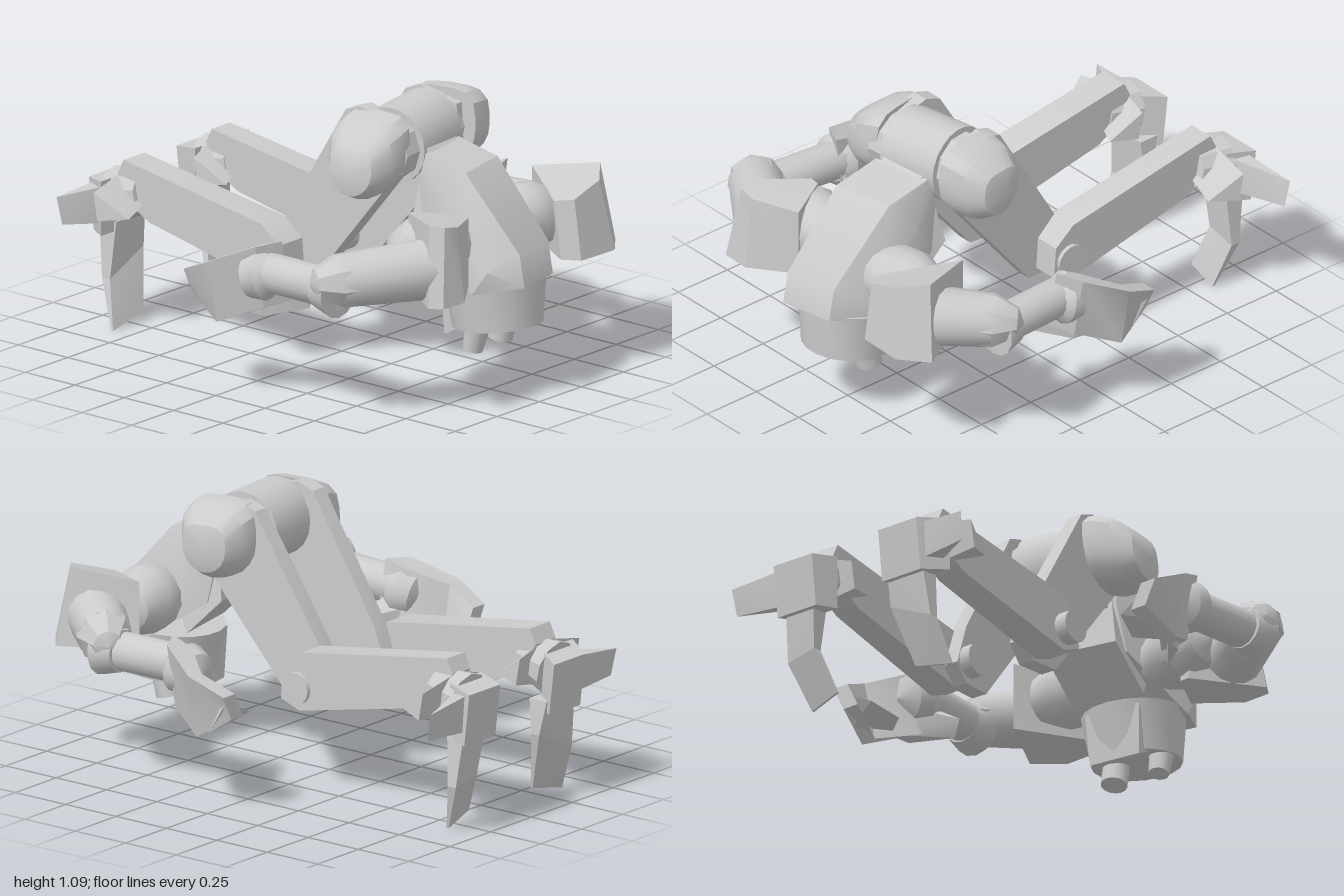
import * as THREE from 'three';
import { toCreasedNormals } from 'three/addons/utils/BufferGeometryUtils.js';
import { ConvexGeometry } from 'three/addons/geometries/ConvexGeometry.js';

const grey = new THREE.MeshStandardMaterial({ color: 0xcccccc });
const V = (p) => new THREE.Vector3(...p);

function add(parent, name, geo) {
  const mesh = new THREE.Mesh(toCreasedNormals(geo, 0.6), grey);
  mesh.name = name;
  parent.add(mesh);
  return mesh;
}

// Faceted solid wrapped around a few corners
const hull = (pts) => new ConvexGeometry(pts.map(V));

// Side profile of [z, y] points, extruded from x0 to x1
function sideProfile(pts, x0, x1) {
  const shape = new THREE.Shape(pts.map(([z, y]) => new THREE.Vector2(z, y)));
  const geo = new THREE.ExtrudeGeometry(shape, { depth: Math.abs(x1 - x0), bevelEnabled: false });
  return geo.rotateY(-Math.PI / 2).translate(Math.max(x0, x1), 0, 0);
}

// Plan of [x, z] points, extruded from y0 to y1
function plan(pts, y0, y1) {
  const shape = new THREE.Shape(pts.map(([x, z]) => new THREE.Vector2(x, z)));
  const geo = new THREE.ExtrudeGeometry(shape, { depth: y1 - y0, bevelEnabled: false });
  return geo.rotateX(Math.PI / 2).translate(0, y1, 0);
}

// Move every vertex by a rule
function reshape(geo, rule) {
  const p = geo.attributes.position;
  const v = new THREE.Vector3();
  for (let i = 0; i < p.count; i++) {
    rule(v.fromBufferAttribute(p, i));
    p.setXYZ(i, v.x, v.y, v.z);
  }
  return geo;
}

// Turned part running from a to b; profile is [radius, fraction along]
function turned(a, b, profile, sides = 16) {
  const from = V(a), dir = V(b).sub(from), len = dir.length();
  const geo = new THREE.LatheGeometry(profile.map(([r, t]) => new THREE.Vector2(r, t * len)), sides);
  geo.applyQuaternion(new THREE.Quaternion().setFromUnitVectors(new THREE.Vector3(0, 1, 0), dir.normalize()));
  return geo.translate(from.x, from.y, from.z);
}
const rod = (a, b, r0, r1 = r0, sides = 14) => turned(a, b, [[0, 0], [r0, 0], [r1, 1], [0, 1]], sides);

function buildHips(root) {
  const hips = new THREE.Group();
  hips.name = 'hips';
  hips.position.set(0.015, 0.935, 0.33);
  hips.rotation.set(0, 0.14, 0.03);
  root.add(hips);
  add(hips, 'pelvisDrum', rod([-0.135, 0, 0], [0.135, 0, 0], 0.155, 0.155, 20));
  for (const s of [-1, 1]) {
    // Dome with a squared-off upper half, sagging outward
    const dome = turned([s * 0.19, 0, 0], [s * 0.405, 0, 0],
      [[0, 0], [0.15, 0], [0.154, 0.25], [0.14, 0.55], [0.095, 0.87], [0, 1]], 20);
    add(hips, 'hipDome', reshape(dome, (v) => {
      const r = Math.hypot(v.y, v.z) || 1;
      const k = v.y > 0 ? ((v.y / r) ** 4 + (v.z / r) ** 4) ** -0.25 || 1 : 1;
      v.y *= k;
      v.z = v.z * k + s * 0.03;
      v.y -= (Math.abs(v.x) - 0.18) * (s < 0 ? 0.2 : 0.12);
      v.x += v.y * (s < 0 ? 0.14 : 0.03);
    }));
    add(hips, 'hipRing', rod([s * 0.13, 0, 0], [s * 0.22, 0, 0], 0.135, 0.13, 10));
  }
}

function buildTorso(root) {
  const torso = new THREE.Group();
  torso.name = 'torso';
  torso.position.set(0.02, 0, 0);
  root.add(torso);
  // Mirrored corners, with the left side set slightly further back
  const both = (pts) => [-1, 1].flatMap((s) => pts.map(([x, y, z]) => [s * x, y, z - 0.2 * s * x]));
  add(torso, 'chest', hull(both([
    [0.125, 0.93, 0.49], [0.125, 0.89, 0.69], [0.11, 0.61, 0.955], [0.11, 0.48, 0.98],
    [0.18, 0.78, 0.6], [0.2, 0.54, 0.85], [0.215, 0.44, 0.78], [0.15, 0.62, 0.5], [0.13, 0.82, 0.46],
  ])));
  add(torso, 'waist', hull(both([
    [0.1, 0.93, 0.5], [0.1, 1.0, 0.36], [0.1, 0.84, 0.36], [0.1, 0.78, 0.5], [0.1, 0.8, 0.6],
  ])));
  add(torso, 'backPlate', hull(both([
    [0.11, 0.85, 0.46], [0.15, 0.64, 0.43], [0.15, 0.48, 0.6], [0.12, 0.6, 0.68],
  ])));
}

function buildHead(root) {
  const head = new THREE.Group();
  head.name = 'head';
  head.position.set(0.02, 0.37, 0.765);
  head.rotation.set(-0.1, 0.16, 0);
  root.add(head);
  add(head, 'headDrum', rod([0, -0.1, 0], [0, 0.1, 0], 0.178, 0.205, 18));
  add(head, 'headFlap', hull([
    [-0.12, 0.08, -0.17], [0.12, 0.08, -0.17], [-0.11, -0.13, -0.18],
    [0.11, -0.13, -0.18], [-0.11, -0.1, -0.1], [0.11, -0.1, -0.1],
  ]));
  for (const x of [-0.12, 0.08]) {
    add(head, 'headPeg', rod([x, -0.18, -0.05], [x, -0.06, -0.01], x < 0 ? 0.04 : 0.052, 0.052));
  }
}

function buildArm(root, s, pose) {
  const arm = new THREE.Group();
  arm.name = s > 0 ? 'leftArm' : 'rightArm';
  root.add(arm);
  const { shoulder, upper, elbow, wrist, pad, padTop, padSlope } = pose;

  // Domed shoulder and angular pad, drawn in at its upper outer and front edges
  add(arm, 'shoulder', turned(...shoulder,
    [[0, 0], [0.1, 0], [0.135, 0.3], [0.135, 0.55], [0.09, 0.85], [0, 1]], 14));
  add(arm, 'shoulderPad', reshape(plan(pad, 0.48, 0.75), (v) => {
    if (v.y < 0.6) return;
    v.y = padTop + padSlope * (Math.abs(v.x) - 0.2);
    if (Math.abs(v.x) > 0.48) v.x -= s * 0.05;
    if (v.z > 0.85) v.z -= 0.035;
  }));

  // Upper arm ending in an angular elbow
  const along = V(elbow).sub(V(upper)).normalize();
  const past = V(elbow).addScaledVector(along, 0.12).toArray();
  const before = V(elbow).addScaledVector(along, -0.05).toArray();
  add(arm, 'upperArm', rod(upper, elbow, 0.12, 0.105));
  add(arm, 'elbow', turned(before, past, [[0, 0], [0.105, 0], [0.11, 0.3], [0.06, 0.85], [0, 1]], 8));

  // Forearm
  const start = [elbow[0], elbow[1] - 0.04, elbow[2]];
  add(arm, 'elbowCuff', rod(start, [start[0], start[1], start[2] - 0.09], 0.11, 0.085));
  add(arm, 'forearm', rod(start, wrist, 0.078));
  add(arm, 'wristCuff', turned([wrist[0], wrist[1], wrist[2] + 0.04], [wrist[0] + s * 0.03, wrist[1] - 0.03, wrist[2] - 0.1],
    [[0, 0], [0.08, 0], [0.105, 0.25], [0.09, 0.7], [0, 1]], 14));

  // Hooked hand: an outer plate that tapers to its tip, with a bent inner plate
  const hook = [[0.72, -0.12], [0.79, -0.12], [0.82, 0.03], [0.74, 0.2], [0.64, 0.25], [0.65, 0.15], [0.75, 0.02]];
  add(arm, 'hand', reshape(plan(hook.map(([x, z]) => [s * x, z]), 0, 1), (v) => {
    const t = THREE.MathUtils.clamp((v.z + 0.12) / 0.34, 0, 1);
    const low = 0.4 - 0.09 * Math.sin(t * Math.PI);
    const high = 0.5 + 0.15 * t;
    v.x += s * (v.y - 0.8) * 0.05;
    v.y = v.y > 0.5 ? high : low;
  }));
  add(arm, 'fingerPlate', hull([
    [s * 0.62, 0.4, -0.11], [s * 0.78, 0.48, -0.12], [s * 0.74, 0.42, 0.04], [s * 0.58, 0.36, 0.01],
    [s * 0.66, 0.35, 0.07], [s * 0.77, 0.36, -0.04],
  ]));
  add(arm, 'thumb', hull([
    [s * 0.5, 0.43, 0.28], [s * 0.53, 0.36, 0.29], [s * 0.67, 0.34, 0.18], [s * 0.75, 0.5, 0.05],
    [s * 0.68, 0.52, 0.2], [s * 0.7, 0.35, 0.08], [s * 0.58, 0.48, 0.27],
  ]));
}

function buildLeg(root, s, { thighX, splay, knee, shinX, foot, spur, toeRows }) {
  const leg = new THREE.Group();
  leg.name = s > 0 ? 'leftLeg' : 'rightLeg';
  root.add(leg);

  // Flat thigh slanting down and back to the knee
  const thigh = [[0.42, 1.04], [0.25, 1.085], [0.18, 1.06], [-0.12, 0.57], [-0.18, 0.4], [-0.12, 0.33], [0.02, 0.34], [0.43, 0.84]];
  add(leg, 'thigh', reshape(sideProfile(thigh, ...thighX), (v) => {
    v.x += splay * (v.z - 0.1);
  }));
  add(leg, 'knee', rod([knee[0], 0.425, -0.1], [knee[1], 0.425, -0.1], 0.065));

  // Shin
  const shin = [[-0.02, 0.37], [-0.03, 0.5], [-0.12, 0.57], [-0.83, 0.68], [-0.86, 0.62], [-0.78, 0.5], [-0.7, 0.455], [-0.11, 0.335]];
  add(leg, 'shin', reshape(sideProfile(shin, ...shinX), (v) => {
    if (Math.abs(v.x) > 0.3) v.x += s * 0.02 * v.z;
  }));

  // Ankle with swept fins
  add(leg, 'ankle', rod([s * 0.27, 0.55, -0.76], [s * 0.27, 0.52, -0.9], 0.08, 0.11, 10));
  for (const [inner, tip] of [[0.3, 0.48], [0.24, 0.115]]) {
    add(leg, 'ankleFin', hull([
      [s * inner, 0.62, -0.86], [s * inner, 0.45, -0.84], [s * inner, 0.52, -0.74],
      [s * tip, 0.58, -0.85], [s * tip, 0.47, -0.83], [s * (tip * 0.75 + inner * 0.25), 0.49, -0.71],
    ]));
  }

  // Foot block, outer spur and downward claw
  add(leg, 'footBlock', hull([-1, 1].flatMap((k) => {
    const [front, back] = foot.map((x) => x + k * 0.095);
    return [[front, 0.6, -0.88], [front, 0.38, -0.88], [back, 0.58, -1], [back, 0.37, -0.975]];
  })));
  add(leg, 'footSpur', hull([
    [foot[0] + s * 0.05, 0.57, -0.89], [foot[0] + s * 0.05, 0.42, -0.89], [foot[1] + s * 0.07, 0.57, -0.97],
    [foot[1] + s * 0.07, 0.42, -0.96], [spur, 0.55, -0.985], [spur - s * 0.01, 0.44, -0.965],
  ]));
  const zs = [[-0.87, -0.955], [-0.885, -0.925], [-0.835, -0.845]];
  const rows = toeRows.map(([x0, y0, x1, y1], i) =>
    [[x0, y0], [x1, y1]].flatMap(([x, y]) => zs[i].map((z) => [x, y, z])));
  for (let i = 0; i < 2; i++) add(leg, 'claw', hull([...rows[i], ...rows[i + 1]]));
}

export function createModel() {
  const root = new THREE.Group();
  root.name = 'crouchingRobot';
  buildHips(root);
  buildTorso(root);
  buildHead(root);
  buildArm(root, -1, {
    shoulder: [[-0.14, 0.62, 0.7], [-0.47, 0.63, 0.65]], upper: [-0.42, 0.6, 0.81], elbow: [-0.72, 0.58, 0.6], wrist: [-0.69, 0.53, 0.2],
    pad: [[-0.35, 0.635], [-0.31, 0.635], [-0.21, 0.82], [-0.38, 0.945], [-0.5, 0.94], [-0.53, 0.89]], padTop: 0.755, padSlope: 0.12,
  });
  buildArm(root, 1, {
    shoulder: [[0.13, 0.62, 0.72], [0.46, 0.62, 0.66]], upper: [0.47, 0.6, 0.78], elbow: [0.66, 0.58, 0.58], wrist: [0.63, 0.53, 0.2],
    pad: [[0.465, 0.566], [0.62, 0.857], [0.51, 0.947], [0.32, 0.94], [0.28, 0.87]], padTop: 0.69, padSlope: 0.25,
  });
  buildLeg(root, -1, {
    thighX: [-0.19, -0.12], splay: 0.02, knee: [-0.39, -0.15], shinX: [-0.34, -0.2], foot: [-0.305, -0.235], spur: -0.54,
    toeRows: [[-0.32, 0.42, -0.15, 0.42], [-0.34, 0.19, -0.14, 0.28], [-0.38, 0, -0.2, 0.04]],
  });
  buildLeg(root, 1, {
    thighX: [0.16, 0.23], splay: 0.09, knee: [0.09, 0.34], shinX: [0.2, 0.325], foot: [0.255, 0.285], spur: 0.6,
    toeRows: [[0.22, 0.42, 0.355, 0.42], [0.24, 0.22, 0.37, 0.19], [0.19, 0.045, 0.315, 0]],
  });
  return root;
}
